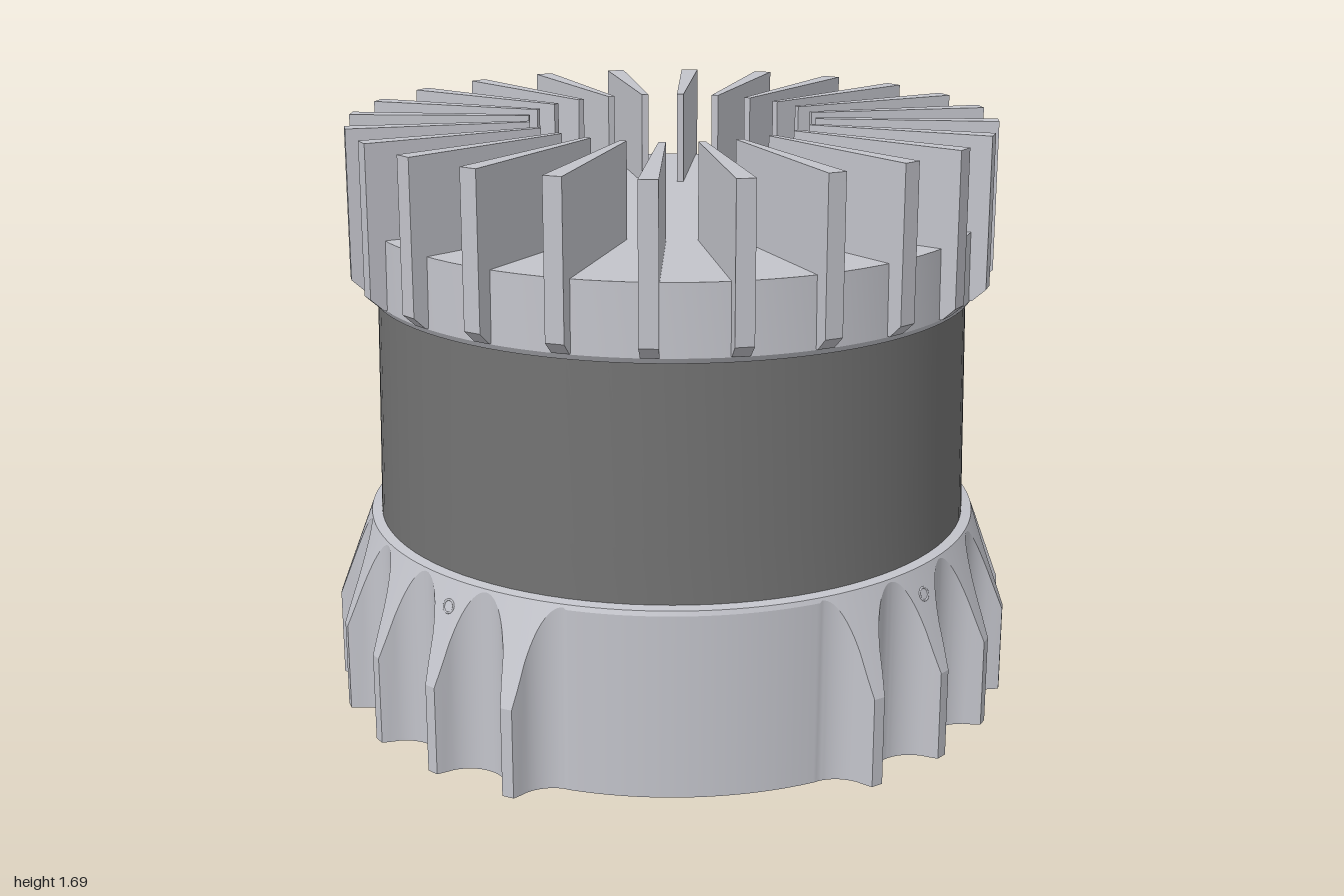
import * as THREE from 'three';
import { toCreasedNormals } from 'three/addons/utils/BufferGeometryUtils.js';

const AXIS_Z = 0.07; // the round body sits slightly forward because of the rear connector
const RAD = Math.PI / 180;

const mat = (name, color) => {
  const m = new THREE.MeshStandardMaterial({ color });
  m.name = name;
  return m;
};

// Radius of the base outline: vertical flutes, smooth front, flat rear panel
function outline(deg) {
  const back = Math.abs(deg - 270);
  if (Math.abs(deg - 90) < 22.5) return 0.9;
  if (back < 13.5) return 0.895 / Math.cos(back * RAD);
  const phi = ((deg % 15) - 7.5) * RAD;
  const disc = 0.107 ** 2 - (1.005 * Math.sin(phi)) ** 2;
  return disc < 0 ? 1 : Math.min(1, 1.005 * Math.cos(phi) - Math.sqrt(disc));
}

// Fluted wall cut by a cone that narrows towards the top
function baseGeometry() {
  const n = 720, pos = [], idx = [];
  for (let i = 0; i < n; i++) {
    const deg = i * 360 / n;
    const r = outline(deg);
    const knee = Math.min(0.538, 0.26 + (1 - r) / 0.105 * 0.28);
    const rows = [[r, 0.01], [r, knee], [0.895, 0.54], [0.855, 0.546]];
    for (const [q, y] of rows) pos.push(q * Math.cos(deg * RAD), y, q * Math.sin(deg * RAD));
    const j = (i + 1) % n;
    for (let k = 0; k < 3; k++) {
      const a = i * 4 + k, d = j * 4 + k;
      idx.push(d, a, a + 1, d, a + 1, d + 1);
    }
  }
  const g = new THREE.BufferGeometry();
  g.setAttribute('position', new THREE.Float32BufferAttribute(pos, 3));
  g.setIndex(idx);
  return toCreasedNormals(g, 0.3);
}

// Radial fin, thin at the inner end and wide at the rim
function finGeometry() {
  const profile = [[0.41, 1.4], [0.85, 1.4], [0.85, 1.225], [0.89, 1.225], [0.928, 1.26], [0.928, 1.69], [0.41, 1.69]];
  const shape = new THREE.Shape(profile.map(([x, y]) => new THREE.Vector2(x, y)));
  const g = new THREE.ExtrudeGeometry(shape, { depth: 1, bevelEnabled: false });
  g.translate(0, 0, -0.5);
  const p = g.attributes.position;
  for (let i = 0; i < p.count; i++) {
    const t = (p.getX(i) - 0.41) / 0.518;
    p.setZ(i, p.getZ(i) * (0.02 + 0.032 * t));
  }
  g.computeVertexNormals();
  return g;
}

const lathe = (pts, seg = 96) => toCreasedNormals(
  new THREE.LatheGeometry(pts.map(([x, y]) => new THREE.Vector2(x, y)), seg), 0.4);

// Flat slab whose top lies at the given height
function slab(shape, depth, top) {
  const g = new THREE.ExtrudeGeometry(shape, { depth, bevelEnabled: false, curveSegments: 48 });
  return toCreasedNormals(g.rotateX(Math.PI / 2).translate(0, top, 0), 0.4);
}

export function createModel() {
  const light = mat('light grey metal', 0xc3c4cb);
  const dark = mat('dark grey band', 0x727272);

  const model = new THREE.Group();
  model.name = 'finnedHousing';
  const body = new THREE.Group();
  body.name = 'body';
  body.position.z = AXIS_Z;
  model.add(body);
  const add = (name, geometry, material, parent = body) => {
    const m = new THREE.Mesh(geometry, material);
    m.name = name;
    parent.add(m);
    return m;
  };

  // Base with a flat bottom and blind screw holes
  add('flutedBase', baseGeometry(), light);
  const pts = [];
  for (let d = 0; d < 360; d += 0.5) {
    pts.push(new THREE.Vector2(Math.cos(d * RAD), Math.sin(d * RAD)).multiplyScalar(outline(d)));
  }
  const bottom = new THREE.Shape(pts);
  const bore = lathe([[0, 0.09], [0.035, 0.09], [0.035, 0.002]], 24);
  for (const a of [0, 30, 150, 180, 240, 300]) {
    const x = 0.85 * Math.cos(a * RAD), z = 0.85 * Math.sin(a * RAD);
    bottom.holes.push(new THREE.Path().absarc(x, z, 0.035, 0, Math.PI * 2, true));
    add('bottomHole', bore, light).position.set(x, 0, z);
  }
  add('bottomPlate', slab(bottom, 0.008, 0.01), light);
  add('bottomLabel', new THREE.BoxGeometry(0.44, 0.003, 0.33), light).position.set(0, 0.0016, 0.6);

  // Small hole rims on the sloped shoulders
  for (let k = 0; k < 4; k++) {
    const pivot = new THREE.Group();
    pivot.name = 'shoulderHole';
    pivot.rotation.y = (45 + 90 * k) * RAD;
    const rim = add('holeRim', new THREE.TorusGeometry(0.018, 0.003, 8, 24), light, pivot);
    rim.position.set(0.921, 0.47, 0);
    rim.rotation.set(0, Math.PI / 2, 20 * RAD, 'ZYX');
    body.add(pivot);
  }

  // Middle band
  add('middleBand', lathe([[0.866, 0.54], [0.862, 0.7], [0.852, 1.21]]), dark);

  // Lid with four shallow recessed screws
  add('lidRim', lathe([[0.845, 1.206], [0.872, 1.206], [0.882, 1.222], [0.88, 1.412], [0, 1.412]]), light);
  const top = new THREE.Shape().absarc(0, 0, 0.88, 0, Math.PI * 2);
  for (const x of [-0.487, 0.487]) for (const z of [-0.487, 0.487]) {
    top.holes.push(new THREE.Path().absarc(x, z, 0.07, 0, Math.PI * 2, true));
    add('lidScrew', new THREE.CylinderGeometry(0.038, 0.038, 0.006, 32), light).position.set(x, 1.414, z);
  }
  add('lidTop', slab(top, 0.008, 1.42), light);

  // Cooling fins
  const fin = finGeometry();
  for (let k = 0; k < 24; k++) add('coolingFin', fin, light).rotation.y = (7.5 + 15 * k) * RAD;

  // Rear connector: hollow socket with flange, threads and pins
  const connector = new THREE.Group();
  connector.name = 'connector';
  connector.position.set(0, 0.21, -0.89);
  connector.rotation.x = -Math.PI / 2;
  body.add(connector);
  add('socket', lathe([[0.12, 0], [0.12, 0.035], [0.155, 0.04], [0.155, 0.055], [0.12, 0.06], [0.102, 0.07],
    [0.102, 0.1], [0.115, 0.105], [0.115, 0.168], [0.108, 0.18], [0.085, 0.18], [0.085, 0.06], [0, 0.06]], 48), light, connector);
  add('socketCore', lathe([[0.065, 0.06], [0.065, 0.15], [0.05, 0.15], [0.05, 0.09], [0, 0.09]], 32), light, connector);
  for (const [y, r] of [[0.018, 0.122], [0.085, 0.106]]) {
    const ring = add('threadRing', new THREE.TorusGeometry(r, 0.008, 8, 48), light, connector);
    ring.rotation.x = Math.PI / 2;
    ring.position.y = y;
  }
  for (let k = 0; k < 4; k++) {
    add('pin', new THREE.CylinderGeometry(0.007, 0.007, 0.04, 10), light, connector)
      .position.set(0.025 * Math.cos(k * Math.PI / 2), 0.105, 0.025 * Math.sin(k * Math.PI / 2));
  }
  return model;
}
